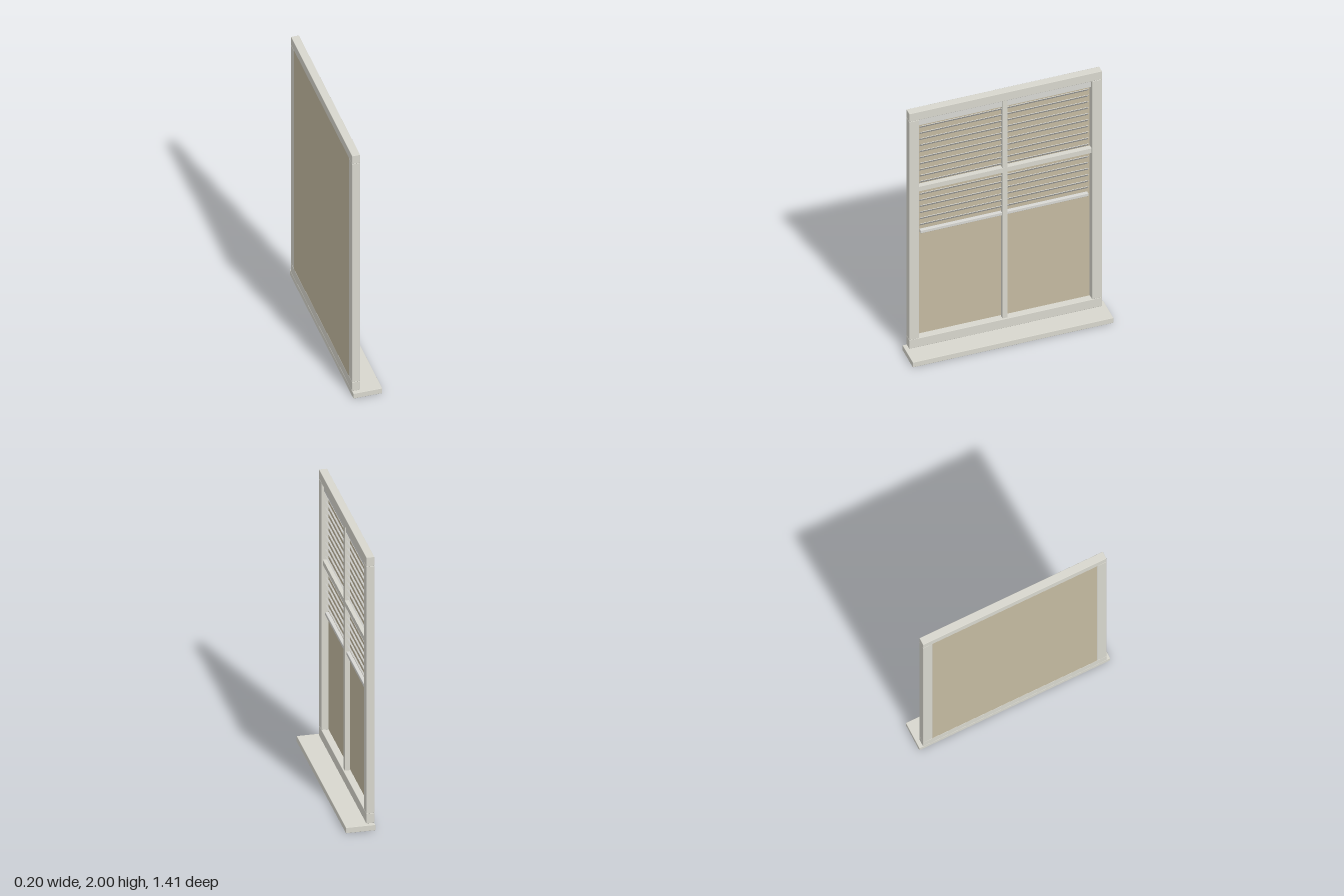
import * as THREE from 'three';
import { RoundedBoxGeometry } from 'three/addons/geometries/RoundedBoxGeometry.js';

const paint = new THREE.MeshStandardMaterial({ name: 'offWhitePaint', color: 0xd8d7ce });
const tan = new THREE.MeshStandardMaterial({ name: 'tanBacking', color: 0xc4baa1 });
const blind = new THREE.MeshStandardMaterial({ name: 'paleGreyBlind', color: 0xd8d8d4 });

// Box given by its extents, with slightly eased edges when ease > 0
function bar(parent, name, material, [x0, x1], [y0, y1], [z0, z1], ease = 0.003) {
  const size = [x1 - x0, y1 - y0, z1 - z0];
  const geometry = ease > 0
    ? new RoundedBoxGeometry(...size, 1, ease)
    : new THREE.BoxGeometry(...size);
  const mesh = new THREE.Mesh(geometry, material);
  mesh.name = name;
  mesh.position.set((x0 + x1) / 2, (y0 + y1) / 2, (z0 + z1) / 2);
  parent.add(mesh);
  return mesh;
}

export function createModel() {
  const model = new THREE.Group();
  model.name = 'window';

  // Outer frame and sill
  const depth = [-0.1, -0.045];
  bar(model, 'sill', paint, [-0.1, 0.1], [0, 0.042], [-0.705, 0.705]);
  bar(model, 'bottomRail', paint, depth, [0.042, 0.115], [-0.677, 0.677]);
  bar(model, 'topRail', paint, depth, [1.932, 2], [-0.677, 0.677]);
  bar(model, 'leftStile', paint, depth, [0.115, 1.932], [0.608, 0.677]);
  bar(model, 'rightStile', paint, depth, [0.115, 1.932], [-0.677, -0.608]);

  // Backing panel
  bar(model, 'backingPanel', tan, [-0.099, -0.094], [0.113, 1.934], [-0.61, 0.61], 0);

  // Glazing bars
  bar(model, 'mullion', paint, [-0.09, -0.056], [0.113, 1.934], [-0.018, 0.018], 0);
  bar(model, 'transom', paint, [-0.09, -0.055], [1.33, 1.367], [-0.609, 0.609], 0);

  // Half-lowered blind with tilted slats, room-side edge up
  const blinds = new THREE.Group();
  blinds.name = 'blind';
  model.add(blinds);
  bar(blinds, 'headRail', blind, [-0.093, -0.062], [1.875, 1.932], [-0.605, 0.605], 0);
  bar(blinds, 'blindBottomRail', blind, [-0.092, -0.066], [0.966, 0.99], [-0.59, 0.59]);
  const slatGeometry = new THREE.BoxGeometry(0.038, 0.003, 1.18);
  for (let i = 0; i < 17; i++) {
    const slat = new THREE.Mesh(slatGeometry, blind);
    slat.name = 'slat';
    slat.position.set(-0.079, 1.845 - i * 0.0508, 0);
    slat.rotation.z = 0.9;
    blinds.add(slat);
  }
  return model;
}
